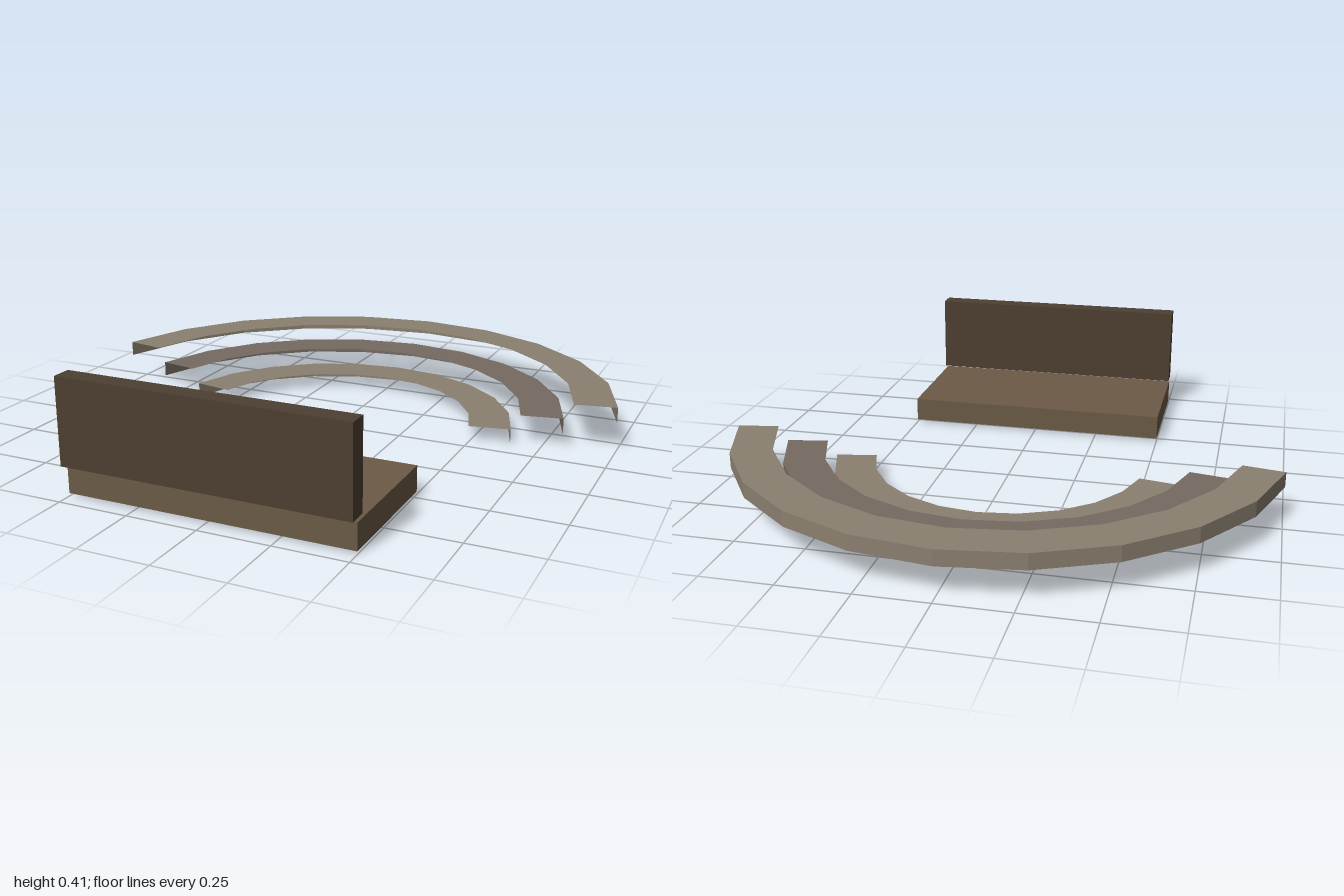
import * as THREE from 'three';

const SEGMENTS = 10;
const START = 0.06 * Math.PI;        // the arc stops short of a half circle at both ends
const SWEEP = Math.PI - 2 * START;
const CENTRE_Z = 0.038;
const STEP = 0.0557;                 // rise of each tier

function material(color) {
  return new THREE.MeshStandardMaterial({ color, flatShading: true, side: THREE.DoubleSide });
}

// Open tier: a flat curved tread with a riser hanging from its outer edge
function createTier(name, inner, outer, bottom, color) {
  const tier = new THREE.Group();
  tier.name = name;
  const mat = material(color);

  const treadGeo = new THREE.RingGeometry(inner, outer, SEGMENTS, 1, START, SWEEP);
  treadGeo.rotateX(-Math.PI / 2);
  const tread = new THREE.Mesh(treadGeo, mat);
  tread.name = name + 'Tread';
  tread.position.set(0, bottom + STEP, CENTRE_Z);

  const riserGeo = new THREE.CylinderGeometry(
    outer, outer, STEP, SEGMENTS, 1, true, Math.PI / 2 + START, SWEEP);
  const riser = new THREE.Mesh(riserGeo, mat);
  riser.name = name + 'Riser';
  riser.position.set(0, bottom + STEP / 2, CENTRE_Z);

  tier.add(tread, riser);
  return tier;
}

// Box given by its lower and upper limits in y and z, centred on x
function createBlock(name, width, y0, y1, z0, z1, color) {
  const mesh = new THREE.Mesh(new THREE.BoxGeometry(width, y1 - y0, z1 - z0), material(color));
  mesh.name = name;
  mesh.position.set(0, (y0 + y1) / 2, (z0 + z1) / 2);
  return mesh;
}

export function createModel() {
  const model = new THREE.Group();
  model.name = 'amphitheatre';

  // Three seating tiers, rising outwards
  const colors = [0x8b8070, 0x766a62, 0x8b8070];
  const names = ['lowerTier', 'middleTier', 'upperTier'];
  names.forEach((name, i) => {
    const inner = 0.504 + i * 0.182;
    model.add(createTier(name, inner, inner + 0.15, i * STEP, colors[i]));
  });

  // Stage platform and the wall behind it
  model.add(createBlock('stagePlatform', 1, 0.01, 0.1, 0.475, 0.947, 0x6b5a45));
  model.add(createBlock('stageBackWall', 1, 0.113, 0.41, 0.911, 0.98, 0x4d3f32));

  return model;
}
